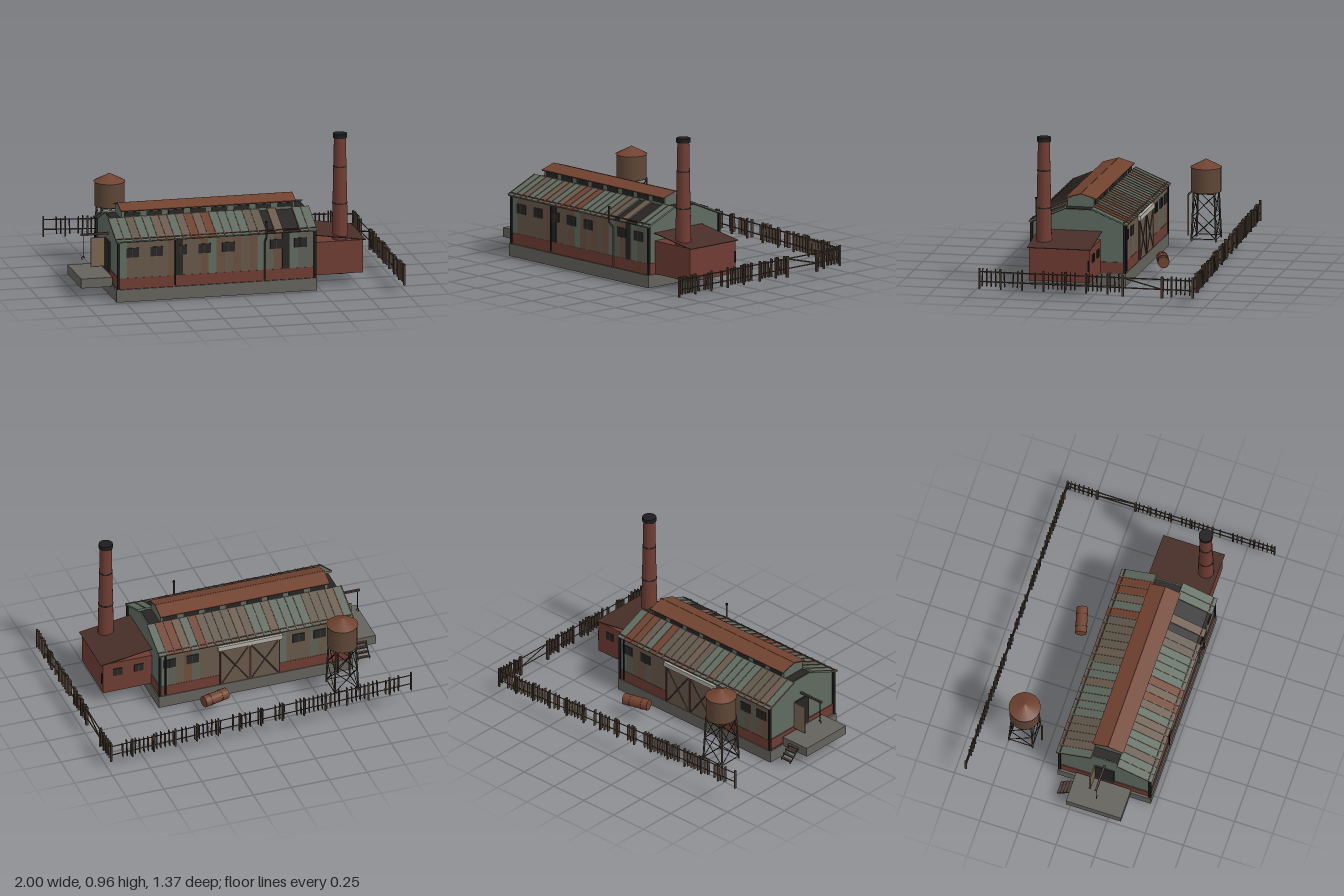
import * as THREE from 'three';

const C = {
  concrete: 0x64625c, brick: 0x6e3c32, rust: 0x70422f, green: 0x5f6b60, wall: 0x66574a,
  dark: 0x262524, black: 0x1c1c1c, wood: 0x4a3c32, tank: 0x5e4636, pale: 0xb0aca4, door: 0x7a6552, brown: 0x482e28,
};
const mats = {};
const mat = (c) => (mats[c] ??= new THREE.MeshStandardMaterial({ color: c, side: THREE.DoubleSide }));

let seed = 7;
const rnd = () => ((seed = (seed * 16807) % 2147483647) / 2147483647);

function add(parent, name, geo, color) {
  const m = new THREE.Mesh(geo, mat(color));
  m.name = name;
  parent.add(m);
  return m;
}
// Box given by its limits on each axis
function box(parent, name, x0, x1, y0, y1, z0, z1, color) {
  const m = add(parent, name, new THREE.BoxGeometry(x1 - x0, y1 - y0, z1 - z0), color);
  m.position.set((x0 + x1) / 2, (y0 + y1) / 2, (z0 + z1) / 2);
  return m;
}
function cyl(parent, name, rTop, rBottom, y0, y1, x, z, color, sides = 16) {
  const m = add(parent, name, new THREE.CylinderGeometry(rTop, rBottom, y1 - y0, sides), color);
  m.position.set(x, (y0 + y1) / 2, z);
  return m;
}
// Thin rod between two points
function rod(parent, name, a, b, r, color, sides = 6) {
  const p = new THREE.Vector3(...a), q = new THREE.Vector3(...b);
  const m = add(parent, name, new THREE.CylinderGeometry(r, r, p.distanceTo(q), sides), color);
  m.position.copy(p).add(q).multiplyScalar(0.5);
  m.quaternion.setFromUnitVectors(new THREE.Vector3(0, 1, 0), q.sub(p).normalize());
  return m;
}
function pipe(parent, name, pts, r, color) {
  const path = new THREE.CurvePath();
  const v = pts.map((p) => new THREE.Vector3(...p));
  for (let i = 1; i < v.length; i++) path.add(new THREE.LineCurve3(v[i - 1], v[i]));
  return add(parent, name, new THREE.TubeGeometry(path, 40, r, 8), color);
}
const MID = 0.163; // z of the roof ridge

// Prism along x from a half profile of [distance from ridge, y]
function prism(parent, name, x0, x1, half, color) {
  const pts = [...half, ...half.slice().reverse().map(([u, y]) => [-u, y])];
  const shape = new THREE.Shape(pts.map(([u, y]) => new THREE.Vector2(u, y)));
  const geo = new THREE.ExtrudeGeometry(shape, { depth: x1 - x0, bevelEnabled: false }).rotateY(Math.PI / 2);
  const m = add(parent, name, geo, color);
  m.position.set(x0, 0, MID);
  return m;
}
// Sloping slab on one side (s = 1 front, -1 back) of the ridge
function slope(parent, name, s, x0, x1, outer, inner, thick, color) {
  const du = outer[0] - inner[0], dy = inner[1] - outer[1];
  const m = add(parent, name, new THREE.BoxGeometry(x1 - x0, thick, Math.hypot(du, dy)), color);
  m.position.set((x0 + x1) / 2, (outer[1] + inner[1]) / 2, MID + (s * (outer[0] + inner[0])) / 2);
  m.rotation.x = s * Math.atan2(dy, du);
  return m;
}
function windowAt(parent, x, y, z, w, h) {
  box(parent, 'windowPane', x - w / 2, x + w / 2, y - h / 2, y + h / 2, z - 0.004, z + 0.004, C.dark);
  box(parent, 'windowBar', x - 0.002, x + 0.002, y - h / 2, y + h / 2, z - 0.006, z + 0.006, C.wood);
}

function buildHall() {
  const g = new THREE.Group();
  g.name = 'mainHall';
  // Foundation walls, open underneath, with a dark floor
  for (const [z0, z1] of [[-0.14, -0.125], [0.455, 0.47]]) box(g, 'foundation', -0.805, 0.475, 0, 0.08, z0, z1, C.concrete);
  for (const [x0, x1] of [[-0.805, -0.79], [0.46, 0.475]]) box(g, 'foundation', x0, x1, 0, 0.08, -0.14, 0.47, C.concrete);
  box(g, 'floor', -0.8, 0.47, 0.07, 0.08, -0.135, 0.465, C.dark);
  // Hall body and brick plinth
  prism(g, 'hallBody', -0.785, 0.462, [[0.293, 0.08], [0.293, 0.385], [0.085, 0.472]], C.green);
  box(g, 'brickPlinth', -0.791, 0.468, 0.08, 0.15, -0.135, 0.461, C.brick);
  box(g, 'openRidge', -0.78, 0.455, 0.465, 0.476, MID - 0.083, MID + 0.083, C.dark);
  // Weathered sheets on the long walls, posts at the corners
  const tones = [C.green, C.wall, 0x5e5f54, C.wall, 0x69503f];
  for (let i = 0; i < 24; i++) {
    const x = -0.787 + i * 0.052;
    box(g, 'wallSheet', x, x + 0.052, 0.15, 0.385, 0.453, 0.459, tones[Math.floor(rnd() * 5)]);
    box(g, 'wallSheet', x, x + 0.052, 0.15, 0.385, -0.133, -0.127, tones[Math.floor(rnd() * 5)]);
  }
  for (const x of [-0.79, 0.464]) for (const z of [-0.132, 0.458]) box(g, 'cornerPost', x - 0.008, x + 0.008, 0.08, 0.385, z - 0.008, z + 0.008, C.black);
  // Roof sheets with raised seams; some sheets are missing at the front
  const roofTones = [C.green, C.green, 0x6a5a4c, C.rust, 0x62594c];
  const w = 1.28 / 24;
  for (const s of [1, -1]) {
    slope(g, 'roofUnderlay', s, -0.785, 0.462, [0.3, 0.38], [0.085, 0.472], 0.006, C.dark);
    for (let i = 0; i < 24; i++) {
      const x = -0.805 + i * w;
      if (s > 0 && [18, 20, 21].includes(i)) continue;
      slope(g, 'roofSheet', s, x, x + w, [0.312, 0.386], [0.085, 0.482], 0.008 + 0.003 * rnd(), roofTones[Math.floor(rnd() * 5)]);
      slope(g, 'roofSeam', s, x - 0.003, x + 0.003, [0.312, 0.39], [0.085, 0.486], 0.01, C.wall);
    }
    slope(g, 'eaveTrim', s, -0.805, 0.475, [0.295, 0.398], [0.287, 0.4015], 0.008, C.brown);
  }
  // Raised ridge vent with its own roof
  prism(g, 'ridgeVent', -0.72, 0.385, [[0.085, 0.47], [0.085, 0.525], [0, 0.552]], C.green);
  for (const s of [1, -1]) {
    slope(g, 'ventRoof', s, -0.727, 0.39, [0.1, 0.526], [0, 0.556], 0.007, C.rust);
    for (let i = 0; i < 8; i++) {
      const x = -0.65 + i * 0.139;
      box(g, 'ventWindow', x - 0.05, x + 0.05, 0.49, 0.517, MID + s * 0.086 - 0.003, MID + s * 0.086 + 0.003, C.dark);
    }
  }
  // Long-wall windows, openings and drainpipes
  for (let i = 0; i < 8; i++) if (i !== 5) windowAt(g, -0.7 + i * 0.153, 0.312, 0.46, 0.08, 0.06);
  for (const x of [0.4, 0.25, -0.45, -0.59, -0.72]) windowAt(g, x, 0.312, -0.134, 0.08, 0.06);
  box(g, 'wallOpening', -0.425, -0.38, 0.15, 0.38, 0.455, 0.462, C.dark);
  box(g, 'wallOpening', 0.255, 0.3, 0.15, 0.38, 0.455, 0.462, C.dark);
  rod(g, 'drainpipe', [-0.428, 0.09, 0.465], [-0.428, 0.39, 0.465], 0.005, C.black);
  rod(g, 'drainpipe', [0.43, 0.09, -0.138], [0.43, 0.39, -0.138], 0.005, C.black);
  pipe(g, 'fluePipe', [[0.145, 0.09, 0.464], [0.145, 0.335, 0.464], [0.145, 0.37, 0.498], [0.145, 0.465, 0.498]], 0.006, C.wood);
  cyl(g, 'flueCap', 0.008, 0.008, 0.46, 0.472, 0.145, 0.498, C.black, 8);
  // Sliding back doors with braces below a pale track cover
  for (const x of [-0.32, -0.123]) {
    box(g, 'slidingDoor', x, x + 0.19, 0.085, 0.335, -0.142, -0.134, C.wall);
    rod(g, 'doorBrace', [x + 0.01, 0.095, -0.143], [x + 0.18, 0.325, -0.143], 0.004, C.wood, 4);
    rod(g, 'doorBrace', [x + 0.18, 0.095, -0.143], [x + 0.01, 0.325, -0.143], 0.004, C.wood, 4);
    for (const e of [x, x + 0.19]) box(g, 'doorStile', e - 0.004, e + 0.004, 0.085, 0.335, -0.145, -0.134, C.brown);
  }
  box(g, 'doorTrack', -0.34, 0.085, 0.338, 0.368, -0.152, -0.134, C.pale);
  return g;
}

function buildAnnex() {
  const g = new THREE.Group();
  g.name = 'boilerHouse';
  box(g, 'annexWalls', 0.46, 0.785, 0.08, 0.29, 0.02, 0.405, C.brick);
  const roof = box(g, 'annexRoof', 0.463, 0.803, 0.313, 0.317, 0.012, 0.415, C.brown);
  roof.rotation.z = -Math.atan2(0.05, 0.335);
  for (const x of [0.55, 0.69]) windowAt(g, x, 0.22, 0.019, 0.06, 0.05);
  rod(g, 'wallPipe', [0.79, 0.15, 0.028], [0.79, 0.22, 0.028], 0.005, C.black);
  // Tapered chimney with bands and a dark crown
  cyl(g, 'chimney', 0.037, 0.055, 0.075, 0.94, 0.652, 0.34, C.brick, 20);
  for (const [y, r] of [[0.52, 0.0475], [0.755, 0.0425]]) cyl(g, 'chimneyBand', r, r, y - 0.004, y + 0.004, 0.652, 0.34, C.dark, 20);
  cyl(g, 'chimneyCrown', 0.044, 0.044, 0.938, 0.965, 0.652, 0.34, C.black, 20);
  return g;
}

function buildDock() {
  const g = new THREE.Group();
  g.name = 'loadingDock';
  box(g, 'dockPlatform', -1, -0.8, 0.07, 0.13, -0.02, 0.34, C.concrete);
  box(g, 'dockDoorway', -0.794, -0.784, 0.13, 0.325, 0.1, 0.225, C.dark);
  box(g, 'openDoor', -0.88, -0.79, 0.14, 0.325, 0.092, 0.1, C.door);
  box(g, 'hoistBeam', -0.96, -0.78, 0.36, 0.372, 0.155, 0.168, C.wood);
  rod(g, 'hoistRope', [-0.945, 0.225, MID], [-0.945, 0.365, MID], 0.002, C.black);
  const hook = add(g, 'hoistHook', new THREE.TorusGeometry(0.009, 0.003, 6, 12, 4.5), C.black);
  hook.position.set(-0.945, 0.217, MID);
  for (let i = 0; i < 4; i++) box(g, 'dockStep', -0.935, -0.855, 0.035 + i * 0.022, 0.043 + i * 0.022, -0.1 + i * 0.02, -0.083 + i * 0.02, C.wood);
  for (const x of [-0.932, -0.858]) rod(g, 'stepStringer', [x, 0.025, -0.1], [x, 0.1, -0.025], 0.004, C.wood, 4);
  return g;
}

function buildTank() {
  const g = new THREE.Group();
  g.name = 'waterTower';
  cyl(g, 'tank', 0.094, 0.094, 0.39, 0.545, 0, 0, C.tank, 20);
  cyl(g, 'tankRoof', 0.003, 0.1, 0.545, 0.595, 0, 0, C.rust, 16);
  // Four splayed legs with crossed braces
  const at = (i, y) => {
    const r = 0.078 - (0.012 * (y - 0.085)) / 0.3, a = Math.PI / 4 + (i * Math.PI) / 2;
    return [Math.SQRT2 * r * Math.cos(a), y, Math.SQRT2 * r * Math.sin(a)];
  };
  for (let i = 0; i < 4; i++) {
    rod(g, 'towerLeg', at(i, 0.085), at(i, 0.395), 0.006, C.wood);
    for (const y of [0.1, 0.24]) {
      rod(g, 'towerBrace', at(i, y), at(i + 1, y + 0.14), 0.0025, C.black, 5);
      rod(g, 'towerBrace', at(i + 1, y), at(i, y + 0.14), 0.0025, C.black, 5);
    }
    rod(g, 'towerGirt', at(i, 0.385), at(i + 1, 0.385), 0.004, C.wood, 5);
    rod(g, 'towerGirt', at(i, 0.1), at(i + 1, 0.1), 0.003, C.wood, 5);
  }
  pipe(g, 'outletPipe', [[-0.015, 0.395, 0.08], [-0.015, 0.36, 0.118], [-0.015, 0.1, 0.118]], 0.006, C.tank);
  g.position.set(-0.638, 0, -0.412);
  return g;
}

// Picket fence running along local x; base rises linearly, gate is an [from, to] span
function buildFence(length, rise, gate) {
  const g = new THREE.Group();
  g.name = 'fence';
  const base = (d) => 0.06 + (rise * d) / length;
  for (const h of [0.042, 0.105]) rod(g, 'fenceRail', [0, base(0) + h, 0], [length, base(length) + h, 0], 0.004, C.wood, 4);
  const inGate = (d) => gate && d > gate[0] && d < gate[1];
  const n = Math.round(length / 0.137);
  for (let i = 0; i <= n; i++) {
    const d = (i * length) / n;
    if (!inGate(d)) box(g, 'fencePost', d - 0.004, d + 0.004, base(d) - 0.005, base(d) + 0.125, -0.007, 0.007, C.wood);
  }
  for (let d = 0.02; d < length; d += 0.028) {
    const gap = rnd() < 0.22, top = 0.108 + 0.02 * rnd();
    if (gap || inGate(d)) continue;
    const p = box(g, 'picket', d - 0.002, d + 0.002, base(d) + 0.012, base(d) + top, -0.011, 0.011, C.wood);
    p.rotation.z = (rnd() - 0.5) * 0.08;
  }
  if (gate) {
    for (const d of gate) box(g, 'gatePost', d - 0.007, d + 0.007, 0.047, 0.182, -0.008, 0.008, C.wood);
    rod(g, 'gateBrace', [gate[0], 0.102, 0], [gate[1], 0.165, 0], 0.004, C.wood, 4);
  }
  return g;
}

export function createModel() {
  const model = new THREE.Group();
  model.name = 'oldFactory';
  model.add(buildHall(), buildAnnex(), buildDock(), buildTank());
  // Barrel lying on its side behind the hall
  const barrel = new THREE.Group();
  barrel.name = 'barrel';
  for (const [name, r, len, x] of [['barrelBody', 0.036, 0.17, 0], ['barrelHoop', 0.038, 0.006, -0.04], ['barrelHoop', 0.038, 0.006, 0.04]]) {
    const m = add(barrel, name, new THREE.CylinderGeometry(r, r, len, 16).rotateZ(Math.PI / 2), C.rust);
    m.position.x = x;
  }
  barrel.position.set(0.165, 0.115, -0.31);
  barrel.rotation.y = 0.27;
  model.add(barrel);
  // Back fence climbs towards the right; side fence is level with a gate
  const back = buildFence(1.98, 0.085);
  back.position.set(0.983, 0, -0.677);
  back.rotation.y = Math.PI;
  const side = buildFence(1.355, 0, [0.195, 0.445]);
  side.position.set(0.983, 0, -0.677);
  side.rotation.y = -Math.PI / 2;
  model.add(back, side);
  return model;
}
